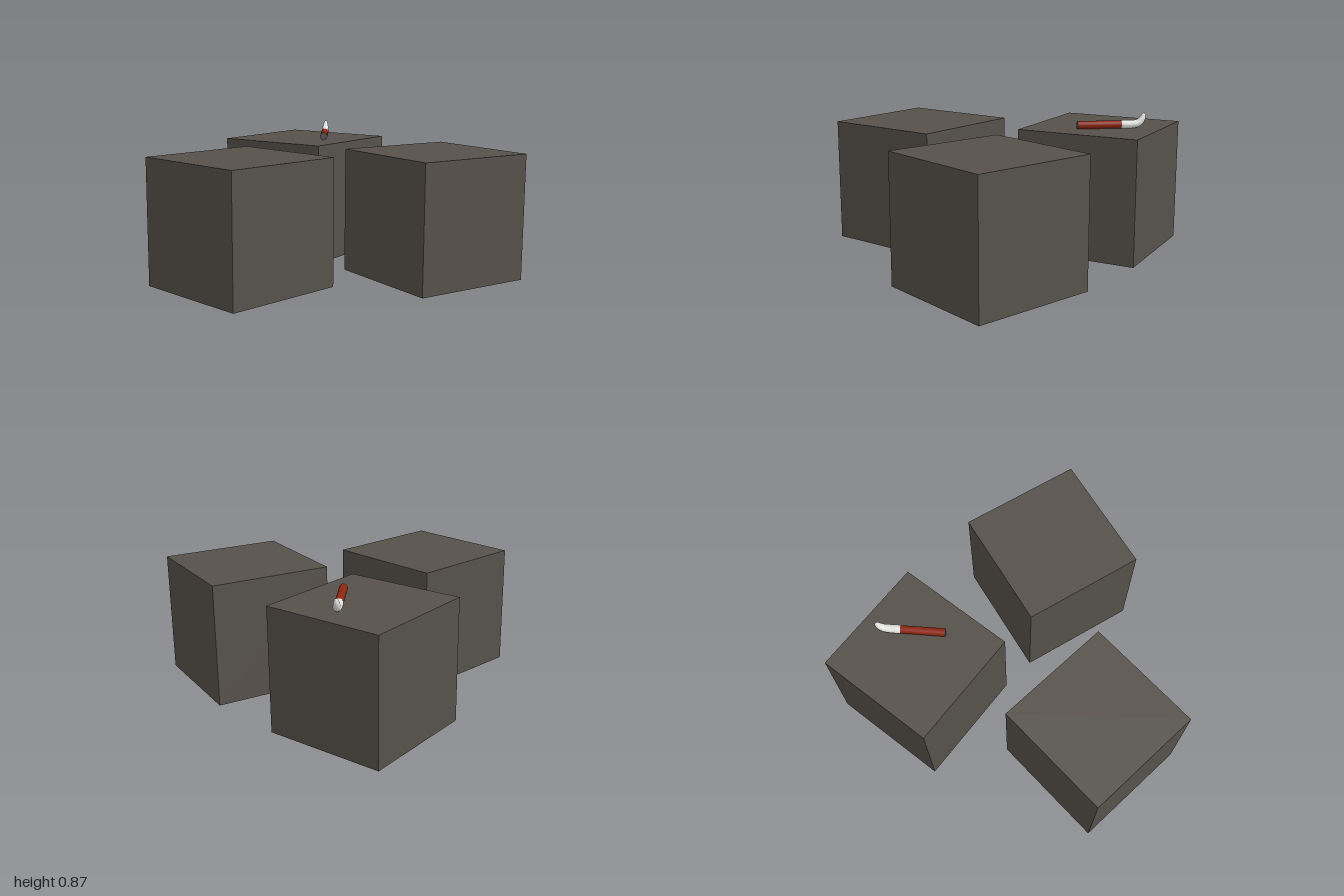
import * as THREE from 'three';

const material = (name, color, side = THREE.FrontSide) => {
  const m = new THREE.MeshStandardMaterial({ color, side });
  m.name = name;
  return m;
};

export function createModel() {
  const model = new THREE.Group();
  model.name = 'blocksWithBrush';

  const stone = material('darkStone', 0x56514a);
  const wood = material('redWood', 0x8c2611);
  const capGrey = material('capGrey', 0x55555a);
  const hair = material('whiteBristle', 0xe2e2df, THREE.DoubleSide);

  const add = (parent, name, geometry, mat) => {
    const mesh = new THREE.Mesh(geometry, mat);
    mesh.name = name;
    parent.add(mesh);
    return mesh;
  };

  // Three equal stone blocks: name, x, z, turn
  const size = 0.775;
  const blocks = [
    ['frontLeftBlock', 0.605, 0.61, 0],
    ['rightBlock', -0.535, 0.23, 0.213],
    ['backLeftBlock', 0.38, -0.5, 0.371],
  ];
  for (const [name, x, z, turn] of blocks) {
    const block = add(model, name, new THREE.BoxGeometry(size, size, size), stone);
    block.position.set(x, size / 2, z);
    block.rotation.y = turn;
  }

  // Brush lying on the back block; its length runs along local +x
  const brush = new THREE.Group();
  brush.name = 'brush';
  brush.position.set(0.39, size, -0.285);
  brush.rotation.y = 0.953;
  model.add(brush);

  const radius = 0.025;
  const length = 0.285;
  const handle = add(brush, 'handle', new THREE.CylinderGeometry(radius, radius, length, 24), wood);
  handle.rotation.z = -Math.PI / 2;
  handle.position.set(length / 2, radius, 0);

  const cap = add(brush, 'handleEnd', new THREE.CylinderGeometry(radius, radius, 0.003, 24), capGrey);
  cap.rotation.z = -Math.PI / 2;
  cap.position.set(-0.0015, radius, 0);

  // Bristles: a tube that bends upward and narrows to the tip
  const path = new THREE.CatmullRomCurve3([
    [0.25, 0.025], [0.3, 0.025], [0.345, 0.026], [0.38, 0.034], [0.403, 0.058], [0.416, 0.098],
  ].map(([x, y]) => new THREE.Vector3(x, y, 0)));
  const rings = 24, sides = 20;
  const bristles = new THREE.TubeGeometry(path, rings, 1, sides, false);
  const pos = bristles.attributes.position;
  const v = new THREE.Vector3();
  for (let i = 0; i <= rings; i++) {
    const u = i / rings;
    const centre = path.getPointAt(u);
    const start = 0.02 + 0.0065 * Math.min(1, u / 0.15);
    const r = start * Math.sqrt(Math.max(0, 1 - Math.pow(u, 3.2))) + 0.0005;
    for (let j = 0; j <= sides; j++) {
      const k = i * (sides + 1) + j;
      v.fromBufferAttribute(pos, k).sub(centre).multiplyScalar(r).add(centre);
      pos.setXYZ(k, v.x, Math.max(v.y, 0.001), v.z);
    }
  }
  bristles.computeVertexNormals();
  add(brush, 'bristles', bristles, hair);

  return model;
}
